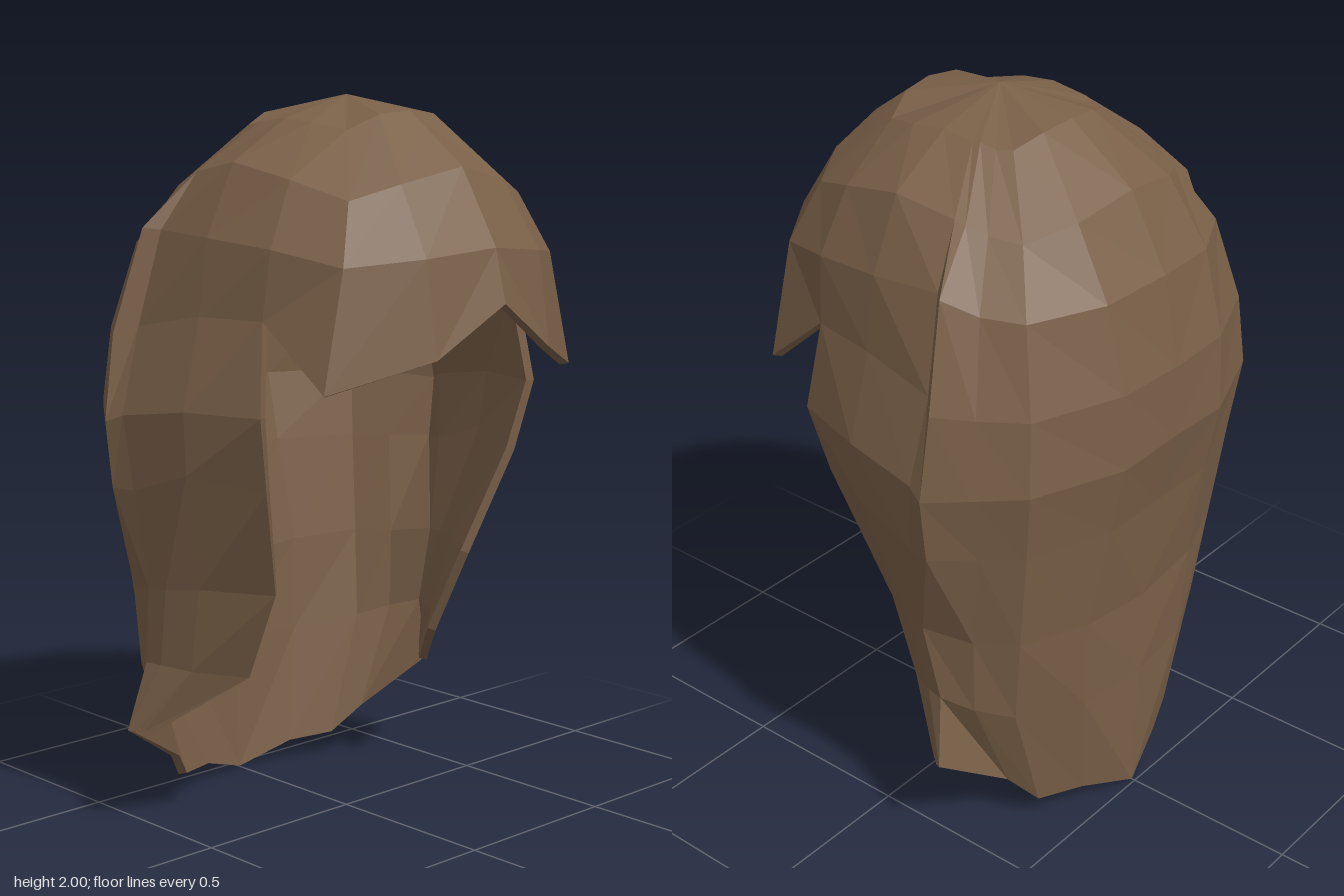
import * as THREE from 'three';

const THICKNESS = 0.025;
const CROWN = [0, 2, 0];

// Locks of the left half, front centre to back centre, each listed from below the crown to the hem
const fringe = [
  [[0, 1.96, 0.24], [0, 1.82, 0.43], [0, 1.62, 0.55], [0, 1.48, 0.585]],
  [[0.1, 1.95, 0.23], [0.19, 1.78, 0.4], [0.21, 1.6, 0.51], [0.21, 1.35, 0.55]],
  [[0.19, 1.91, 0.2], [0.315, 1.74, 0.34], [0.385, 1.58, 0.395], [0.46, 1.27, 0.405]],
];
const side = [
  [[0.22, 1.93, 0.1], [0.375, 1.79, 0.19], [0.46, 1.62, 0.21], [0.48, 1.44, 0.2], [0.515, 1.2, 0.23],
    [0.47, 1, 0.2], [0.37, 0.7, 0.12], [0.36, 0.45, 0], [0.53, 0.29, -0.2]],
  [[0.22, 1.94, 0], [0.4, 1.83, 0], [0.49, 1.64, 0], [0.52, 1.44, 0], [0.585, 1.2, 0.01],
    [0.57, 1.03, 0], [0.5, 0.71, -0.04], [0.48, 0.47, -0.1], [0.55, 0.29, -0.22]],
  [[0.215, 1.93, -0.09], [0.38, 1.8, -0.17], [0.48, 1.65, -0.2], [0.545, 1.4, -0.22], [0.61, 1.17, -0.21],
    [0.595, 0.97, -0.19], [0.54, 0.7, -0.13], [0.52, 0.48, -0.18], [0.565, 0.29, -0.24]],
];
const back = [
  [[0.21, 1.93, -0.11], [0.375, 1.79, -0.2], [0.515, 1.655, -0.235], [0.595, 1.38, -0.265], [0.63, 1.15, -0.26],
    [0.61, 0.97, -0.26], [0.55, 0.7, -0.19], [0.53, 0.48, -0.23], [0.575, 0.29, -0.26]],
  [[0.2, 1.92, -0.15], [0.35, 1.77, -0.25], [0.455, 1.61, -0.31], [0.525, 1.37, -0.355], [0.555, 1.16, -0.365],
    [0.525, 0.97, -0.36], [0.5, 0.68, -0.32], [0.485, 0.45, -0.31], [0.37, 0.155, -0.33]],
  [[0.18, 1.92, -0.19], [0.315, 1.755, -0.33], [0.4, 1.6, -0.41], [0.45, 1.37, -0.465], [0.47, 1.17, -0.48],
    [0.45, 0.97, -0.455], [0.43, 0.68, -0.42], [0.41, 0.42, -0.39], [0.3, 0.07, -0.385]],
  [[0.1, 1.95, -0.22], [0.19, 1.79, -0.4], [0.21, 1.61, -0.51], [0.21, 1.38, -0.57], [0.21, 1.17, -0.58],
    [0.21, 0.97, -0.54], [0.23, 0.67, -0.49], [0.22, 0.4, -0.475], [0.17, 0.06, -0.44]],
  [[0, 1.96, -0.23], [0, 1.82, -0.42], [0, 1.62, -0.53], [0, 1.38, -0.58], [0, 1.18, -0.585],
    [0, 0.97, -0.54], [0, 0.65, -0.5], [0, 0.4, -0.5], [0, 0.005, -0.49]],
];

// Joins neighbouring locks into an outer skin; rows stop where the shorter lock ends
function outerSkin() {
  const half = [...fringe, ...side, ...back];
  const mirrored = half.slice(1, -1).reverse().map(col => col.map(([x, y, z]) => [-x, y, z]));
  const ring = [...half, ...mirrored];
  const points = [CROWN], faces = [];
  const columns = ring.map(col => [0, ...col.map(p => points.push(p) - 1)]);
  columns.forEach((a, i) => {
    const b = columns[(i + 1) % columns.length];
    faces.push([0, a[1], b[1]]);
    for (let j = 1; j < Math.min(a.length, b.length) - 1; j++) {
      // Diagonals mirror across the middle so both halves match
      if (i < half.length - 1) faces.push([a[j], a[j + 1], b[j + 1]], [a[j], b[j + 1], b[j]]);
      else faces.push([a[j], a[j + 1], b[j]], [a[j + 1], b[j + 1], b[j]]);
    }
  });
  return { points, faces };
}

// Adds an inner skin and closes the open edges with a rim
function thicken({ points, faces }, thickness) {
  const skin = new THREE.BufferGeometry();
  skin.setAttribute('position', new THREE.Float32BufferAttribute(points.flat(), 3));
  skin.setIndex(faces.flat());
  skin.computeVertexNormals();
  const normal = skin.attributes.normal, n = points.length;
  const inner = points.map(([x, y, z], i) => [
    x - normal.getX(i) * thickness, y - normal.getY(i) * thickness, z - normal.getZ(i) * thickness,
  ]);

  const edges = new Set();
  faces.forEach(f => f.forEach((u, k) => edges.add(`${u},${f[(k + 1) % 3]}`)));
  const all = [...faces, ...faces.map(([a, b, c]) => [a + n, c + n, b + n])];
  for (const edge of edges) {
    const [u, v] = edge.split(',').map(Number);
    if (!edges.has(`${v},${u}`)) all.push([v, u, u + n], [v, u + n, v + n]);
  }

  const shell = new THREE.BufferGeometry();
  shell.setAttribute('position', new THREE.Float32BufferAttribute([...points, ...inner].flat(), 3));
  shell.setIndex(all.flat());
  const faceted = shell.toNonIndexed();
  faceted.computeVertexNormals();
  return faceted;
}

export function createModel() {
  const brown = new THREE.MeshStandardMaterial({ color: 0x7a6048, flatShading: true });
  brown.name = 'brown hair';

  const hair = new THREE.Mesh(thicken(outerSkin(), THICKNESS), brown);
  hair.name = 'hair';

  const group = new THREE.Group();
  group.name = 'longHair';
  group.add(hair);
  return group;
}
